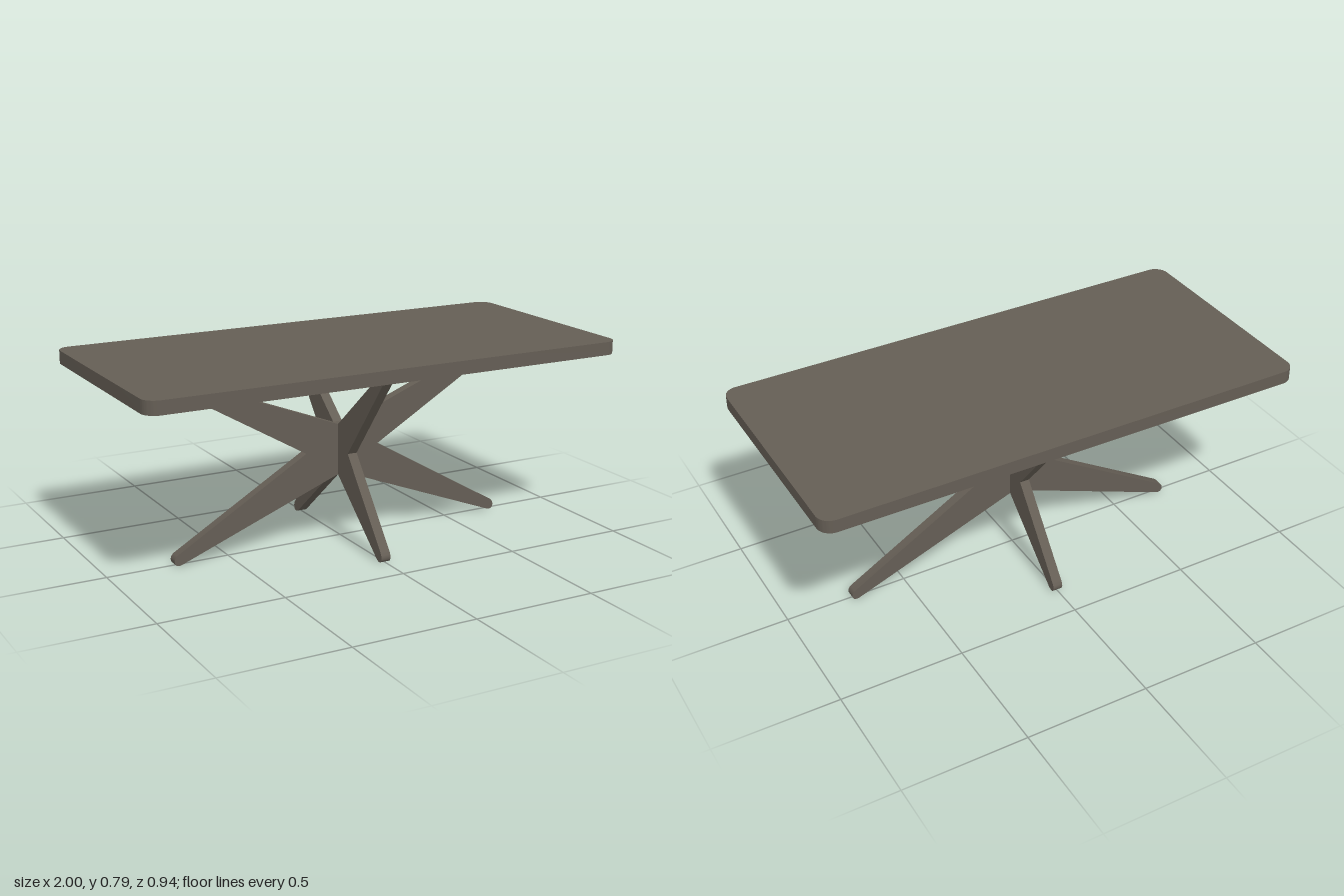
import * as THREE from 'three';
import { toCreasedNormals } from 'three/addons/utils/BufferGeometryUtils.js';

const UNDERSIDE = 0.737, TOP = 0.79, HALF_LENGTH = 1, HALF_WIDTH = 0.472;
const PLANK = 0.04;

function extrude(shape, depth) {
  const geometry = new THREE.ExtrudeGeometry(shape, { depth, bevelEnabled: false, curveSegments: 10 });
  return toCreasedNormals(geometry, 0.6);
}

// Rounded rectangle lying in the floor plane
function topShape(w, d, r) {
  const s = new THREE.Shape();
  s.absarc(w - r, d - r, r, 0, Math.PI / 2);
  s.absarc(-w + r, d - r, r, Math.PI / 2, Math.PI);
  s.absarc(-w + r, -d + r, r, Math.PI, Math.PI * 1.5);
  s.absarc(w - r, -d + r, r, Math.PI * 1.5, Math.PI * 2);
  s.closePath();
  return s;
}

// X-shaped plank: half outline with a rounded foot, mirrored across the middle
function legPanel({ waist, topInner, topOuter, toe, sole }) {
  const v = (x, y) => new THREE.Vector2(x, y);
  const [toeX, toeY] = toe;
  const [soleX, soleY] = sole;
  const tip = toeX + 0.01;
  const foot = [
    ...new THREE.QuadraticBezierCurve(v(toeX, toeY), v(tip, toeY - 0.012), v(tip, 0.02)).getPoints(4),
    ...new THREE.QuadraticBezierCurve(v(tip, 0.02), v(tip, 0), v(tip - 0.02, 0)).getPoints(5).slice(1),
    ...new THREE.QuadraticBezierCurve(v(tip - 0.02, 0), v(soleX + 0.012, 0), v(soleX, soleY)).getPoints(4).slice(1),
  ];
  const half = [
    v(PLANK / 2, 0.473), v(topInner, UNDERSIDE), v(topOuter, UNDERSIDE),
    v(waist, 0.37), ...foot, v(PLANK / 2, 0.265),
  ];
  const mirrored = half.map((p) => v(-p.x, p.y)).reverse();
  const geometry = extrude(new THREE.Shape([...half, ...mirrored]), PLANK);
  geometry.translate(0, 0, -PLANK / 2);
  return geometry;
}

export function createModel() {
  const wood = new THREE.MeshStandardMaterial({ color: 0x655e55 });
  wood.name = 'greyBrownWood';
  const group = new THREE.Group();
  group.name = 'table';

  const add = (name, geometry) => {
    const mesh = new THREE.Mesh(geometry, wood);
    mesh.name = name;
    group.add(mesh);
    return mesh;
  };

  // Tabletop
  const slab = extrude(topShape(HALF_LENGTH, HALF_WIDTH, 0.055), TOP - UNDERSIDE);
  slab.rotateX(-Math.PI / 2);
  slab.translate(0, UNDERSIDE, 0);
  add('tabletop', slab);

  // Crossed leg panels, one along the length and one across
  add('longLegPanel', legPanel({
    waist: 0.162, topInner: 0.705, topOuter: 0.787, toe: [0.722, 0.041], sole: [0.695, 0.005],
  }));
  add('crossLegPanel', legPanel({
    waist: 0.1, topInner: 0.342, topOuter: 0.393, toe: [0.36, 0.043], sole: [0.334, 0.006],
  })).rotation.y = Math.PI / 2;

  return group;
}
